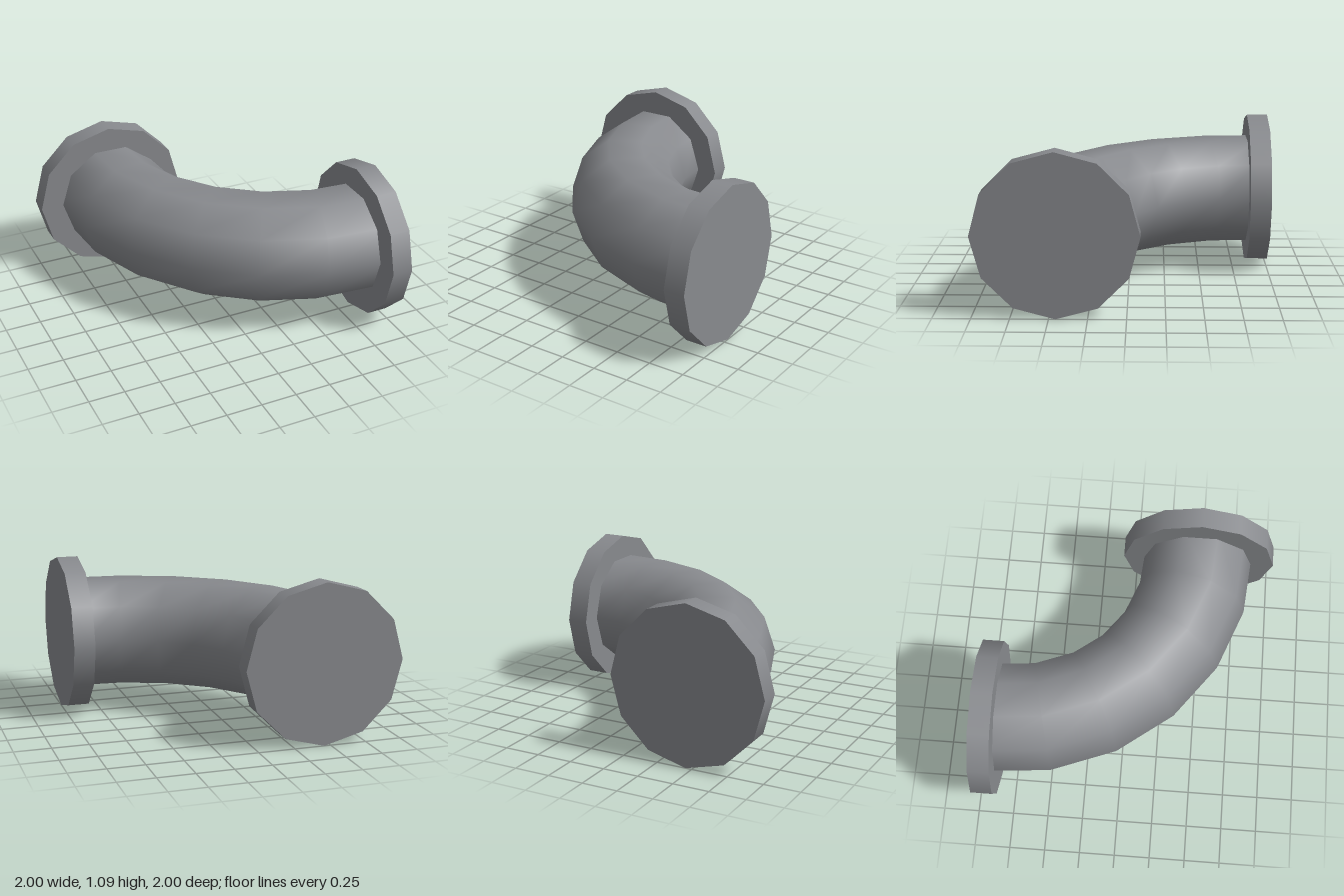
import * as THREE from 'three';

export function createModel() {
  const model = new THREE.Group();
  const metal = new THREE.MeshStandardMaterial({ color: 0x888a8e });
  metal.name = 'grey metal';

  const flangeRadius = 0.544;
  const thickness = 0.147;
  const offset = 1 - flangeRadius;
  const bendCentre = 1 - thickness;
  const deg = Math.PI / 180;

  // Curved pipe: a ten-sided tube whose ends run slightly into the flanges
  const bend = new THREE.TorusGeometry(bendCentre + offset, 0.39, 10, 6, 96 * deg);
  bend.rotateZ(87 * deg).rotateX(90 * deg);
  const pipe = new THREE.Mesh(bend, metal);
  pipe.name = 'elbowPipe';
  pipe.position.set(bendCentre, flangeRadius, -bendCentre);
  model.add(pipe);

  // Twelve-sided end flanges
  const addFlange = (name, x, z) => {
    const disc = new THREE.CylinderGeometry(flangeRadius, flangeRadius, thickness, 12);
    if (name === 'backFlange') disc.rotateX(-90 * deg);
    else disc.rotateZ(-90 * deg);
    const flange = new THREE.Mesh(disc, metal);
    flange.name = name;
    flange.position.set(x, flangeRadius, z);
    model.add(flange);
  };
  addFlange('backFlange', -offset, -1 + thickness / 2);
  addFlange('leftFlange', 1 - thickness / 2, offset);

  return model;
}
